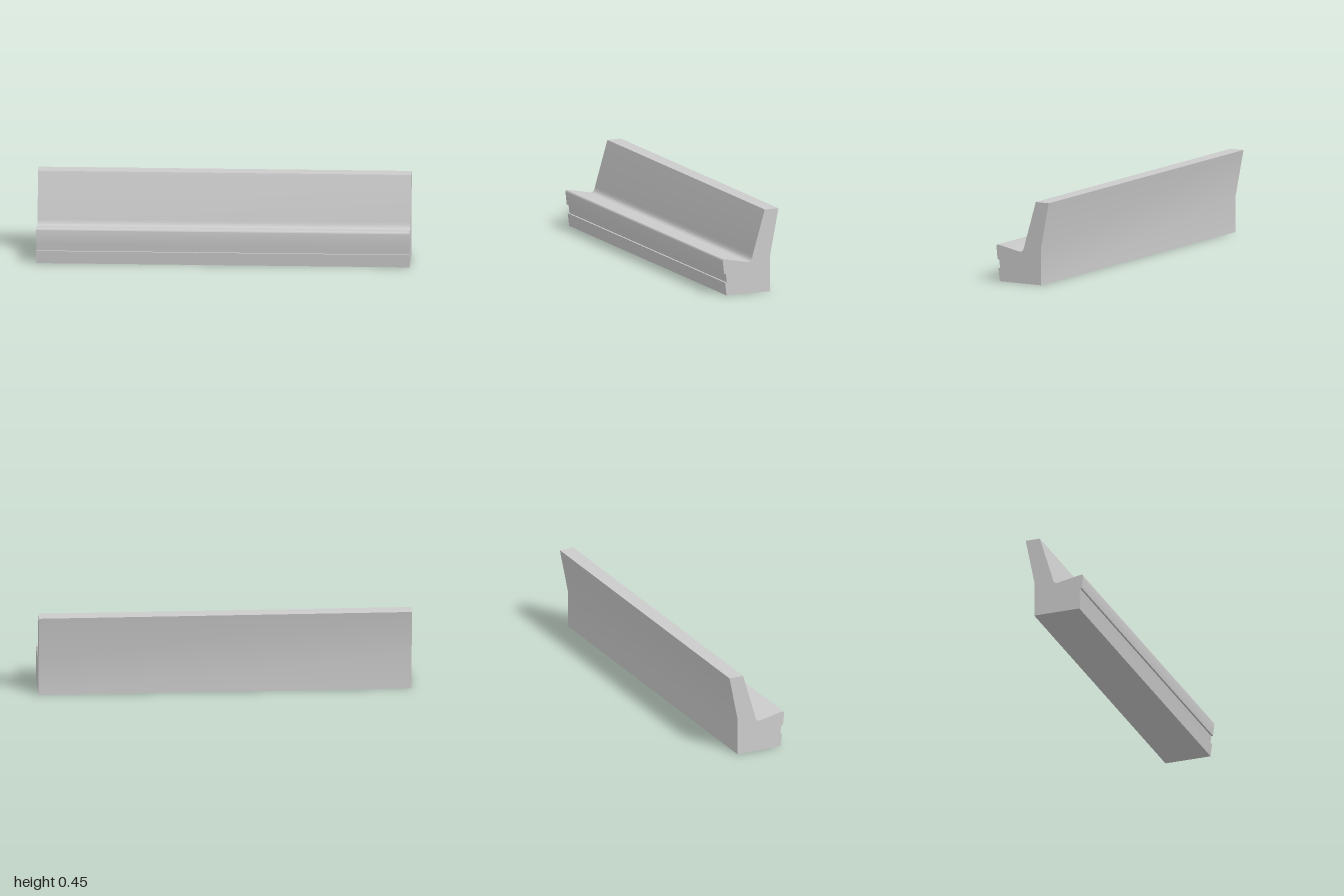
import * as THREE from 'three';
import { toCreasedNormals } from 'three/addons/utils/BufferGeometryUtils.js';

const LENGTH = 2;

// Bench cross-section: horizontal axis runs from front (-) to back (+)
function benchProfile() {
  const s = new THREE.Shape();
  s.moveTo(-0.143, 0);
  s.lineTo(0.115, 0);
  // back wall, then leaning backrest
  s.lineTo(0.115, 0.2);
  s.lineTo(0.164, 0.45);
  s.lineTo(0.083, 0.45);
  s.lineTo(0.013, 0.212);
  // rounded valley between backrest and seat
  s.bezierCurveTo(0.009, 0.186, 0, 0.169, -0.02, 0.172);
  // sloping seat and rounded front lip
  s.lineTo(-0.152, 0.198);
  s.bezierCurveTo(-0.16, 0.2, -0.165, 0.193, -0.164, 0.183);
  // front face with a recessed groove
  s.lineTo(-0.157, 0.118);
  s.lineTo(-0.147, 0.118);
  s.lineTo(-0.141, 0.07);
  s.lineTo(-0.151, 0.07);
  s.closePath();
  return s;
}

export function createModel() {
  const group = new THREE.Group();
  group.name = 'bench';

  const extruded = new THREE.ExtrudeGeometry(benchProfile(), {
    depth: LENGTH,
    bevelEnabled: false,
    curveSegments: 10,
  });
  // centre the length, then turn it to run along x
  extruded.translate(0, 0, -LENGTH / 2);
  extruded.rotateY(Math.PI / 2);

  const body = new THREE.Mesh(
    toCreasedNormals(extruded, 0.6),
    new THREE.MeshStandardMaterial({ color: 0xcccccc })
  );
  body.name = 'benchBody';
  group.add(body);
  return group;
}
